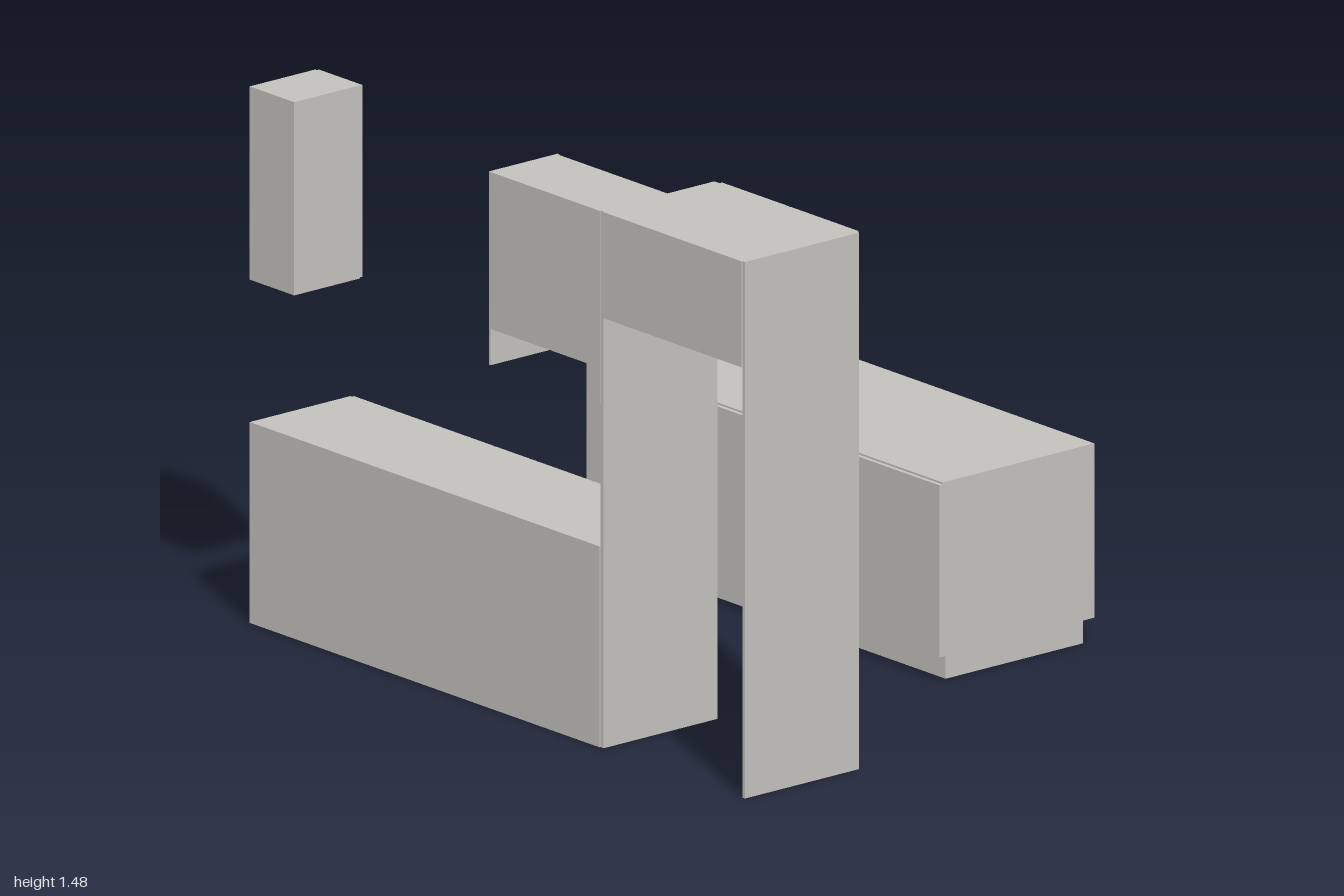
import * as THREE from 'three';

const cabinetGrey = new THREE.MeshStandardMaterial({ color: 0xc3c1bc });
cabinetGrey.name = 'cabinetGrey';

// Box given by its extents along each axis
function box(parent, name, [x0, x1], [y0, y1], [z0, z1]) {
  const mesh = new THREE.Mesh(new THREE.BoxGeometry(x1 - x0, y1 - y0, z1 - z0), cabinetGrey);
  mesh.position.set((x0 + x1) / 2, (y0 + y1) / 2, (z0 + z1) / 2);
  mesh.name = name;
  parent.add(mesh);
}

// Row of door fronts between consecutive z positions, with a narrow gap
function doors(parent, name, xs, [y0, y1], splits, gap = 0.002) {
  for (let i = 0; i < splits.length - 1; i++) {
    box(parent, name, xs, [y0 + gap, y1 - gap], [splits[i] + gap, splits[i + 1] - gap]);
  }
}

function section(parent, name) {
  const group = new THREE.Group();
  group.name = name;
  parent.add(group);
  return group;
}

export function createModel() {
  const model = new THREE.Group();
  model.name = 'kitchenCabinets';
  const back = -0.793;

  // Island: body, recessed plinth, doors inside, raised panels outside
  const island = section(model, 'island');
  box(island, 'islandBody', [0.257, 0.78], [0.07, 0.55], [-0.855, 0.57]);
  box(island, 'islandPlinth', [0.283, 0.757], [0, 0.07], [-0.83, 0.552]);
  doors(island, 'islandDoor', [0.245, 0.257], [0.07, 0.547], [-0.859, -0.502, -0.143, 0.212, 0.574]);
  for (let i = 0; i < 4; i++) {
    const z = -0.812 + i * 0.35;
    box(island, 'islandPanel', [0.78, 0.789], [0.117, 0.5], [z, z + 0.302]);
  }

  // Base run with two doors, a narrow end door and three drawers
  const base = section(model, 'baseCabinets');
  box(base, 'baseBody', [back, -0.446], [0.07, 0.553], [-1, 0.415]);
  box(base, 'basePlinth', [back, -0.47], [0, 0.07], [-1, 0.415]);
  doors(base, 'baseDoor', [-0.446, -0.435], [0.07, 0.553], [-1, -0.823, -0.43, -0.03]);
  for (let i = 0; i < 3; i++) {
    const y = 0.07 + i * 0.161;
    doors(base, 'drawerFront', [-0.446, -0.435], [y, y + 0.161], [-0.03, 0.413]);
  }

  // Tall housing: two side panels bridged by a top cabinet
  const housing = section(model, 'tallHousing');
  box(housing, 'housingFrontPanel', [-0.79, -0.398], [0, 1.477], [0.99, 1]);
  box(housing, 'housingInnerPanel', [-0.79, -0.398], [0, 1.477], [0.416, 0.428]);
  box(housing, 'bridgeCabinet', [back, -0.398], [1.185, 1.477], [0.428, 0.99]);
  doors(housing, 'bridgeDoor', [-0.398, -0.385], [1.187, 1.477], [0.43, 0.707, 0.985]);

  // Wall cabinet with lower side cheeks around an open space
  const wall = section(model, 'wallCabinet');
  box(wall, 'wallBody', [back, -0.567], [1.045, 1.477], [-0.026, 0.416]);
  doors(wall, 'wallDoor', [-0.567, -0.556], [1.045, 1.477], [-0.028, 0.195, 0.414]);
  box(wall, 'wallEndPanel', [back, -0.556], [0.945, 1.477], [-0.033, -0.026]);
  box(wall, 'wallFiller', [back, -0.567], [0.945, 1.045], [0.388, 0.416]);

  // Separate narrow wall cabinet
  const narrow = section(model, 'narrowWallCabinet');
  box(narrow, 'narrowBody', [back, -0.567], [0.945, 1.477], [-1, -0.82]);
  doors(narrow, 'narrowDoor', [-0.567, -0.556], [0.945, 1.477], [-1, -0.82]);

  return model;
}
